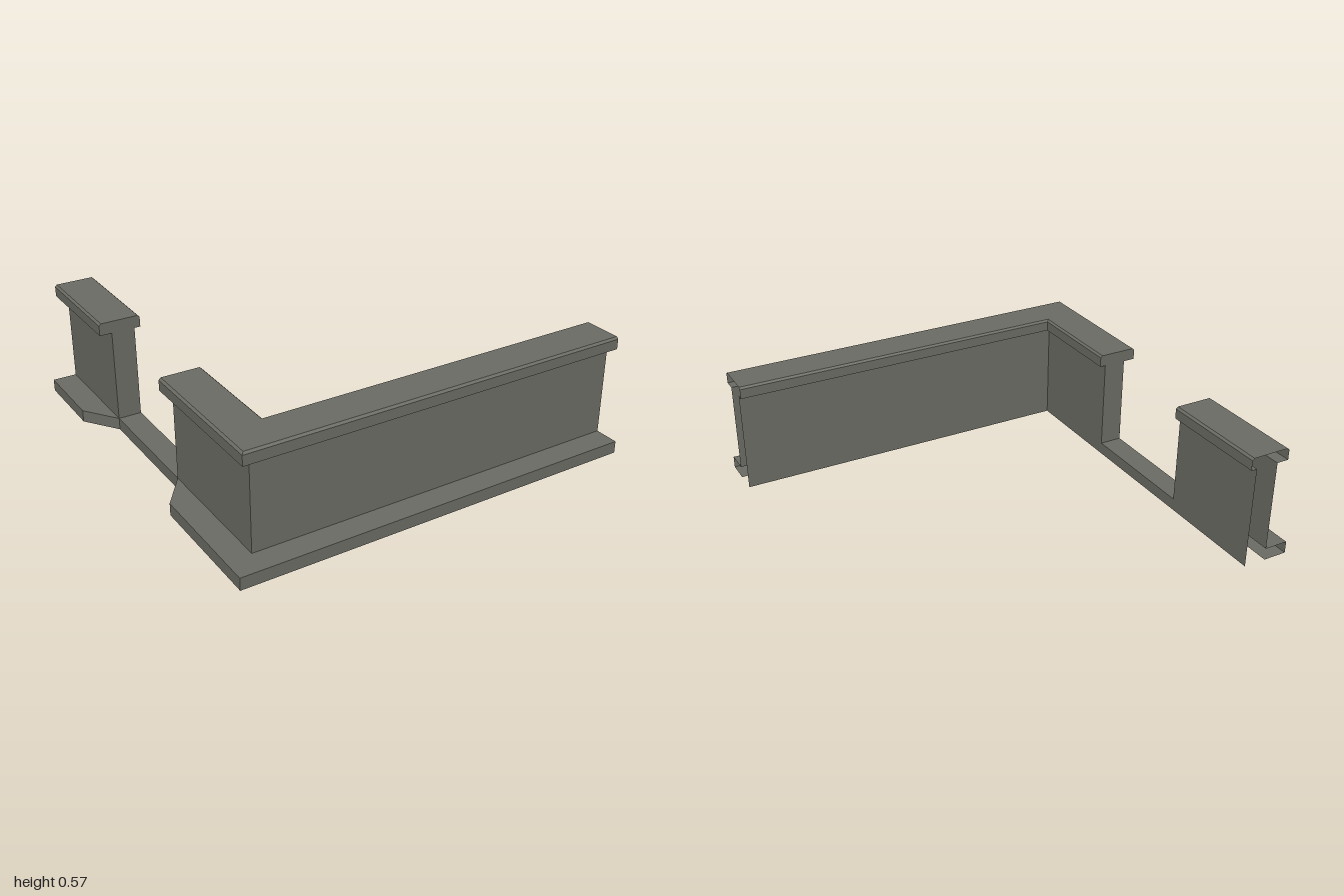
import * as THREE from 'three';

const stone = new THREE.MeshStandardMaterial({ color: 0x6c6c65, side: THREE.DoubleSide });
stone.name = 'warm grey stone';

// Profiles are [d, y]: d is the distance out from the centre, running outer face to inner face.
const wallProfile = [
  [0.88, 0.06], [0.88, 0.515], [0.94, 0.515], [0.94, 0.565], [0.93, 0.575],
  [0.745, 0.575], [0.735, 0.565], [0.735, 0.515], [0.765, 0.515], [0.765, 0],
];
const plinthProfile = [[0.88, 0], [1, 0], [1, 0.06], [0.88, 0.06]];
const sillProfile = [[0.88, 0], [0.88, 0.06], [0.765, 0.06], [0.765, 0]];

const GAP_FRONT = 0.205, GAP_BACK = -0.44;
const splay = (d) => Math.max(0, d - 0.88) * 1.4;

// Stations give the [x, z] position of a profile point at distance d
const atOpenFront = (d) => [1, d];
const atCorner = (d) => [-d, d];
const atOpenBack = (d) => [-d, -1];
const atGapFront = (d) => [-d, GAP_FRONT];
const atGapBack = (d) => [-d, GAP_BACK];
const atSplayFront = (d) => [-d, GAP_FRONT + splay(d)];
const atSplayBack = (d) => [-d, GAP_BACK - splay(d)];

function makeMesh(name, points) {
  const geometry = new THREE.BufferGeometry();
  geometry.setAttribute('position', new THREE.Float32BufferAttribute(points.flat(), 3));
  geometry.computeVertexNormals();
  const mesh = new THREE.Mesh(geometry, stone);
  mesh.name = name;
  return mesh;
}

const place = (station, [d, y]) => {
  const [x, z] = station(d);
  return [x, y, z];
};

// Mitred sweep of an open profile through the stations
function sweep(name, profile, stations) {
  const points = [];
  for (let s = 0; s < stations.length - 1; s++) {
    for (let i = 0; i < profile.length - 1; i++) {
      const a = place(stations[s], profile[i]);
      const b = place(stations[s], profile[i + 1]);
      const c = place(stations[s + 1], profile[i + 1]);
      const d = place(stations[s + 1], profile[i]);
      points.push(a, b, c, a, c, d);
    }
  }
  return makeMesh(name, points);
}

// Flat face closing a profile at a station
function endFace(name, profile, station, facesFront) {
  const outline = profile.map(([d, y]) => new THREE.Vector2(d, y));
  const points = [];
  for (const tri of THREE.ShapeUtils.triangulateShape(outline, [])) {
    const order = facesFront ? [tri[0], tri[2], tri[1]] : tri;
    for (const i of order) points.push(place(station, profile[i]));
  }
  return makeMesh(name, points);
}

export function createModel() {
  const model = new THREE.Group();
  model.name = 'cornerWall';

  // Wall and coping, with hollow open ends away from the gateway
  model.add(
    sweep('cornerWallAndCoping', wallProfile, [atOpenFront, atCorner, atGapFront]),
    sweep('rearWallAndCoping', wallProfile, [atGapBack, atOpenBack]),
  );

  // Plinth along the outside, splayed at the gateway
  model.add(
    sweep('cornerPlinth', plinthProfile, [atOpenFront, atCorner, atSplayFront]),
    sweep('rearPlinth', plinthProfile, [atSplayBack, atOpenBack]),
  );

  // Sill across the gateway
  model.add(sweep('gatewaySill', sillProfile, [atGapFront, atGapBack]));

  // End faces beside the gateway
  const wallEnd = wallProfile.map(([d, y]) => [d, Math.max(y, 0.06)]);
  model.add(
    endFace('cornerWallEnd', wallEnd, atGapFront, false),
    endFace('rearWallEnd', wallEnd, atGapBack, true),
    endFace('cornerPlinthEnd', plinthProfile, atSplayFront, false),
    endFace('rearPlinthEnd', plinthProfile, atSplayBack, true),
  );
  return model;
}
